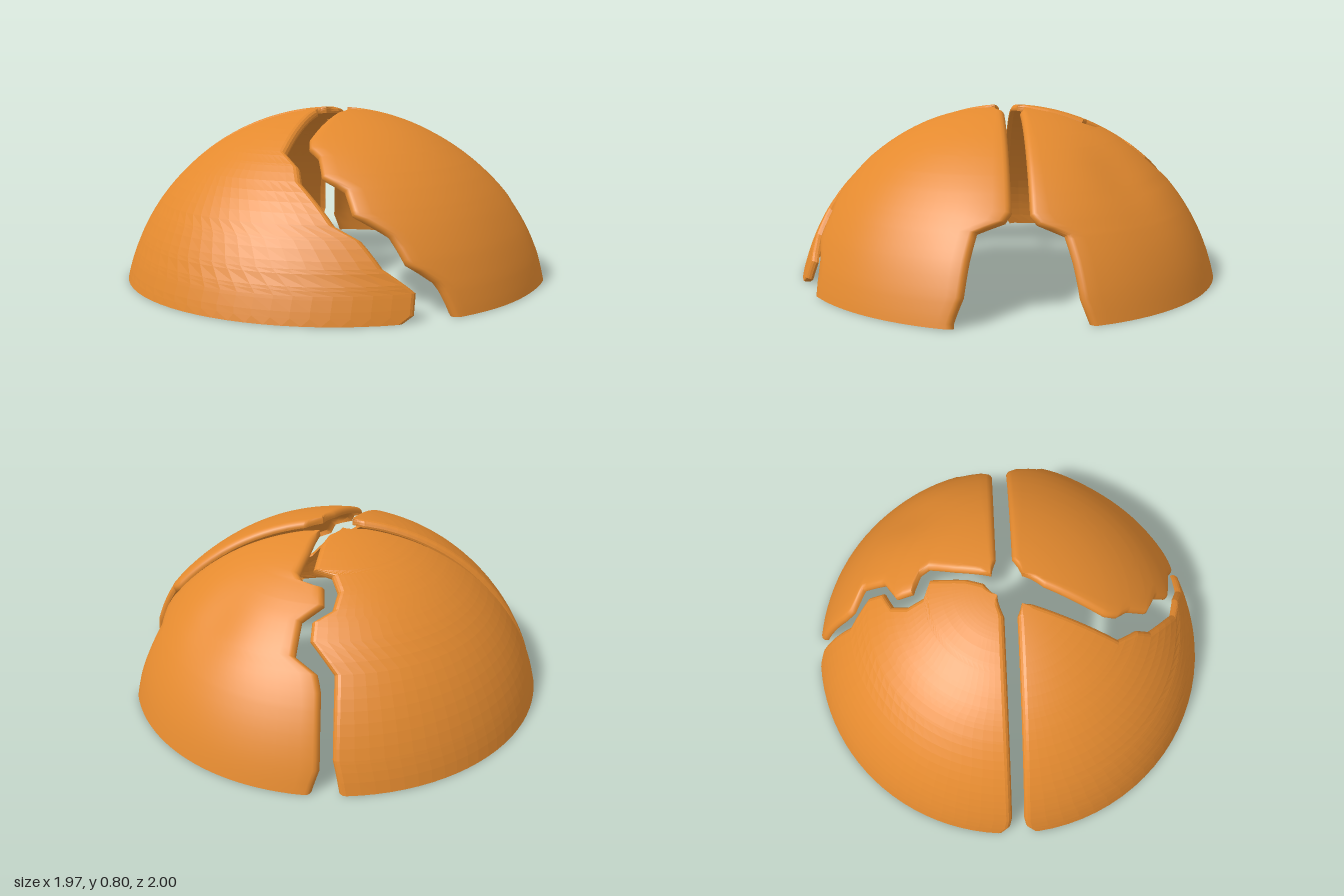
import * as THREE from 'three';
import { toCreasedNormals } from 'three/addons/utils/BufferGeometryUtils.js';

const R = 1.025, CENTRE_Y = -0.225; // sphere whose cap forms the dome
const THICK = 0.012;
const LIP_WIDTH = 0.028, LIP_DEPTH = 0.032; // broken edges roll inwards
const lip = [[.55, .1], [.2, .35], [0, .7], [.05, 1], [.3, .8]]; // fractions of width and depth

// Jagged edges of the front and back cracks in plan, [x, z] from shard tip to rim
const frontCrackRight = [[-.08, .06], [-.08, .11], [-.22, .51], [-.16, .61], [-.15, .68], [-.01, .835],
  [.095, .865], [.18, .91], [.315, .915], [.305, .945], [.26, .965]];
const frontCrackLeft = [[.065, .07], [.005, .17], [-.12, .45], [-.12, .505], [-.08, .565], [-.065, .665], [.03, .72],
  [.06, .8], [.21, .835], [.275, .88], [.4, .87], [.47, .883]];
const backCrackRight = [[-.035, -.05], [.03, -.11], [.06, -.19], [.085, -.355], [0, -.39], [-.03, -.47], [-.01, -.55],
  [.075, -.595], [.08, -.665], [-.03, -.77], [-.03, -.955], [-.06, -.998]];
const backCrackLeft = [[.07, -.075], [.11, -.25], [.145, -.37], [.12, -.415], [.03, -.45], [.025, -.53], [.12, -.59],
  [.14, -.71], [.04, -.77], [.025, -.82], [.025, -.97], [.06, -.998]];

// Straight side gaps, mirrored front to back; the left one has a notch at the rim
const rightGap = [[-.14, .03], [-.96, .03], [-.985, .04], [-.997, .07]];
const leftGap = [[.15, .038], [.79, .038], [.815, .065], [.83, .18], [.885, .21], [.94, .235], [.96, .275]];
const side = (crack, gap, sign, shift) => [crack[0], ...gap.map(([x, z]) => [x, sign * z + shift])];

// Each shard spans from one edge to the next, turning from +x towards +z;
// a dent is a local hollow, or a swelling where its depth is negative
const shards = [
  { name: 'frontLeftShard', dent: { x: .95, z: .2, depth: -.025, spread: .06 },
    from: side(frontCrackLeft, leftGap, 1, -.012), to: frontCrackLeft },
  { name: 'frontRightShard', facets: true, from: frontCrackRight, to: side(frontCrackRight, rightGap, 1, .008) },
  { name: 'backRightShard', facets: true, from: side(backCrackRight, rightGap, -1, .008), to: backCrackRight },
  { name: 'backLeftShard', dent: { x: .52, z: -.47, depth: .018, spread: .025 },
    from: backCrackLeft, to: side(backCrackLeft, leftGap, -1, -.012) },
];

// Angle around the dome at which a broken edge crosses the given plan radius
function edgeAngle(edge, r) {
  let i = 1;
  while (i < edge.length - 1 && r > Math.hypot(...edge[i])) i++;
  const [a, b] = [edge[i - 1], edge[i]];
  const ra = Math.hypot(...a), rb = Math.hypot(...b);
  const t = THREE.MathUtils.clamp((r - ra) / (rb - ra), 0, 1);
  return Math.atan2(a[1] + (b[1] - a[1]) * t, a[0] + (b[0] - a[0]) * t);
}

// Rows at every corner of both edges, with even rows between
function rowRadii({ from, to }) {
  const radii = [...from, ...to].map((p) => Math.hypot(...p));
  for (let i = 1; i < 27; i++) radii.push(R * Math.sin((i / 27) * Math.asin(1 / R)));
  for (let r = 0.08; r < 0.25; r += 0.02) radii.push(r);
  const rows = [Math.hypot(...from[0])];
  radii.sort((a, b) => a - b).forEach((r) => {
    if (r > rows[rows.length - 1] + 0.004 && r < 0.997) rows.push(r);
  });
  return [...rows, 1];
}

function shardGeometry({ from, to, dent, facets }) {
  const N = 22, W = lip.length, M = 2 * (N + 1 + W);
  const rows = rowRadii({ from, to });
  const positions = [], index = [];

  const addPoint = (r, angle, depth) => {
    const x = r * Math.cos(angle), z = r * Math.sin(angle);
    const hollow = dent ? dent.depth * Math.exp(-((x - dent.x) ** 2 + (z - dent.z) ** 2) / dent.spread) : 0;
    const k = (R - depth - hollow) / R;
    positions.push(x * k, Math.max(0, CENTRE_Y + Math.sqrt(R * R - r * r) * k), z * k);
  };

  // Closed cross-section per row: outer skin, lip, inner skin, lip
  for (const r of rows) {
    const a0 = edgeAngle(from, r), a1 = edgeAngle(to, r);
    const inset = Math.min(LIP_WIDTH / r, (a1 - a0) / 4);
    const skin = (j) => a0 + inset + (a1 - a0 - 2 * inset) * (j / N);
    for (let j = 0; j <= N; j++) addPoint(r, skin(j), 0);
    lip.forEach(([w, d]) => addPoint(r, a1 - inset * w, LIP_DEPTH * d));
    for (let j = N; j >= 0; j--) addPoint(r, skin(j), THICK);
    lip.toReversed().forEach(([w, d]) => addPoint(r, a0 + inset * w, LIP_DEPTH * d));
  }
  for (let i = 0; i < rows.length - 1; i++) {
    for (let k = 0; k < M; k++) {
      const a = i * M + k, b = i * M + ((k + 1) % M);
      index.push(a, b, a + M, b, b + M, a + M);
    }
  }
  // Thin rim closing the shard at the bottom
  const last = (rows.length - 1) * M;
  for (let j = 0; j < N; j++) {
    const outer = last + j, inner = last + 2 * N + 1 + W - j;
    index.push(outer, outer + 1, inner, outer + 1, inner - 1, inner);
  }

  const geometry = new THREE.BufferGeometry();
  geometry.setAttribute('position', new THREE.Float32BufferAttribute(positions, 3));
  geometry.setIndex(index);
  if (!facets) return toCreasedNormals(geometry, 0.9);
  const faceted = geometry.toNonIndexed();
  faceted.computeVertexNormals();
  return faceted;
}

export function createModel() {
  const group = new THREE.Group();
  group.name = 'brokenDome';
  const orange = new THREE.MeshStandardMaterial({ color: 0xe48a2f, side: THREE.DoubleSide });
  orange.name = 'orange shell';
  for (const shard of shards) {
    const mesh = new THREE.Mesh(shardGeometry(shard), orange);
    mesh.name = shard.name;
    group.add(mesh);
  }
  return group;
}
